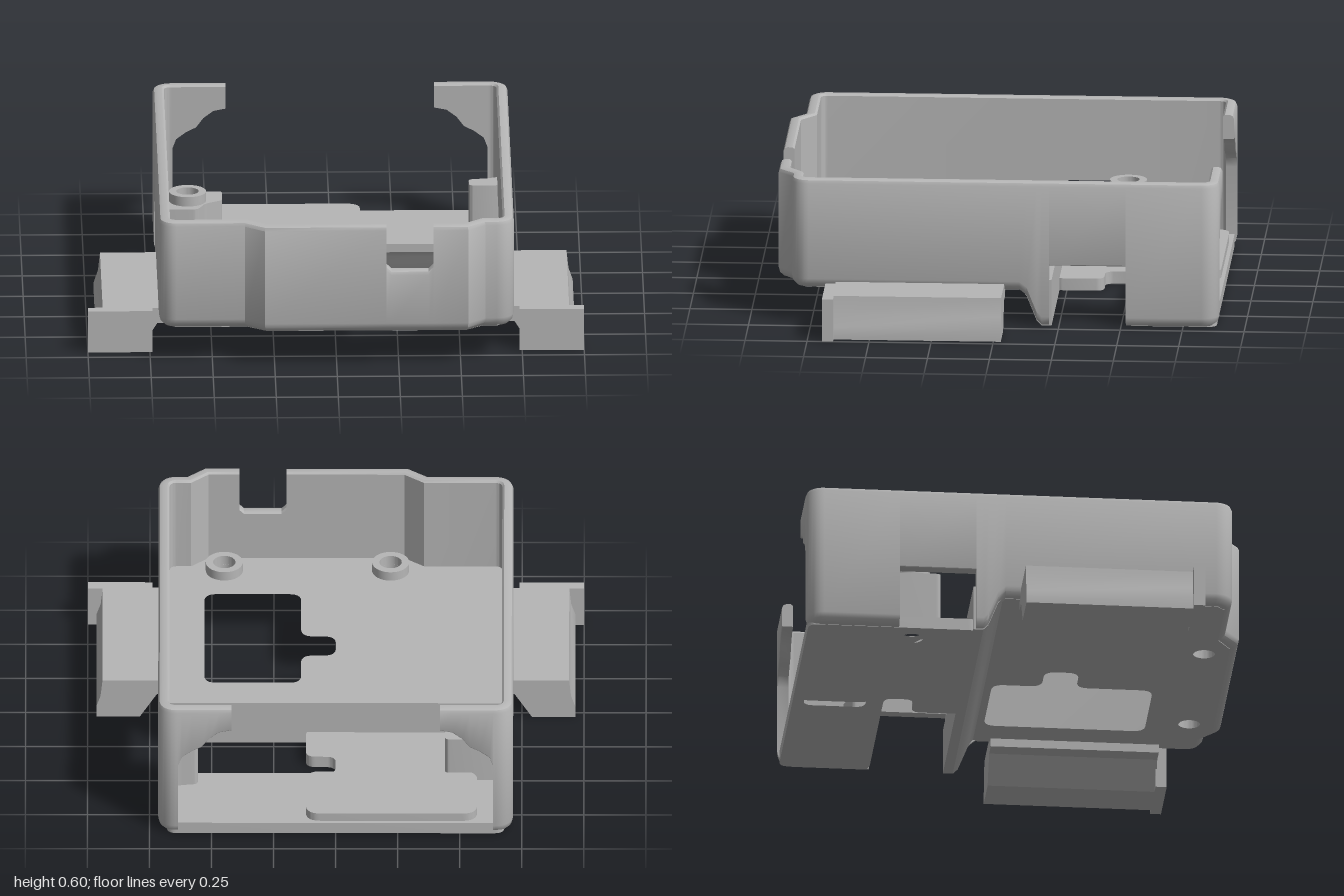
import * as THREE from 'three';
import { toCreasedNormals } from 'three/addons/utils/BufferGeometryUtils.js';

const grey = new THREE.MeshStandardMaterial({ color: 0xb6b6b6 });
grey.name = 'plainGrey';

function add(group, name, geometry) {
  const mesh = new THREE.Mesh(toCreasedNormals(geometry, 0.6), grey);
  mesh.name = name;
  group.add(mesh);
  return mesh;
}

// Trace [x, z] corners with softened corners of size r
function trace(path, pts, r) {
  const n = pts.length;
  const v = pts.map(p => new THREE.Vector2(p[0], -p[1]));
  for (let i = 0; i < n; i++) {
    const c = v[i], a = v[(i + n - 1) % n], b = v[(i + 1) % n];
    const toward = q => c.clone().lerp(q, Math.min(0.45, r / c.distanceTo(q)));
    const s = toward(a), e = toward(b);
    if (i === 0) path.moveTo(s.x, s.y); else path.lineTo(s.x, s.y);
    if (r > 0) path.quadraticCurveTo(c.x, c.y, e.x, e.y);
  }
  path.closePath();
  return path;
}

const roundHole = (x, z, r) => new THREE.Path().absarc(x, -z, r, 0, Math.PI * 2, true);

// Horizontal plate between heights y0 and y1
function plate(pts, r, y0, y1, holes = []) {
  const shape = trace(new THREE.Shape(), pts, r);
  shape.holes.push(...holes);
  const g = new THREE.ExtrudeGeometry(shape, { depth: y1 - y0, bevelEnabled: false, curveSegments: 10 });
  return g.rotateX(-Math.PI / 2).translate(0, y0, 0);
}

const rect = (x0, x1, z0, z1) => [[x0, z0], [x1, z0], [x1, z1], [x0, z1]];

// Profile in x, y pushed along z
function alongZ(pts, z0, z1) {
  const shape = new THREE.Shape(pts.map(p => new THREE.Vector2(...p)));
  return new THREE.ExtrudeGeometry(shape, { depth: z1 - z0, bevelEnabled: false }).translate(0, 0, z0);
}

// Stations are [x, z, bottom, top]; repeated plan points make vertical steps
function wallStations() {
  const arc = (cx, cz, a0, b) => Array.from({ length: 8 }, (_, i) => {
    const a = a0 + (i / 7) * Math.PI / 2;
    return [cx + 0.07 * Math.cos(a), cz + 0.07 * Math.sin(a), b, 0.6];
  });
  const hook = [[0.42, 0.5], [0.47, 0.49], [0.51, 0.46], [0.54, 0.42], [0.58, 0.4], [0.62, 0.37], [0.635, 0.33], [0.635, 0]];
  const side = [[-0.52, 0], [-0.52, 0.255], [-0.21, 0.255], [-0.21, 0], [-0.18, 0], [-0.16, 0.02], [-0.12, 0.12], [-0.09, 0.145]];
  const half = [
    ...hook.map(([x, b]) => [x, -0.895, b, 0.6]),
    ...arc(0.645, -0.825, -Math.PI / 2, 0),
    ...side.map(([z, b]) => [0.715, z, b, 0.6]),
    ...arc(0.645, 0.76, 0, 0.145),
  ];
  const front = [[0.6, 0.83, 0.6], [0.53, 0.89, 0.6], [0.39, 0.89, 0.6], [0.39, 0.89, 0.43], [0.37, 0.89, 0.41],
    [0.22, 0.89, 0.41], [0.2, 0.89, 0.43], [0.2, 0.89, 0.6], [-0.29, 0.89, 0.6], [-0.37, 0.83, 0.6]];
  return [...half, ...front.map(([x, z, t]) => [x, z, 0.145, t]),
    ...half.map(([x, z, b, t]) => [-x, z, b, t]).reverse()];
}

// Wall swept round the case, with a rounded foot and bevelled rim
function wallGeometry() {
  const st = wallStations(), pos = [], index = [], K = 9, w = 0.045;
  const apart = (a, b) => Math.hypot(a[0] - b[0], a[1] - b[1]) > 1e-5;
  st.forEach((s, i) => {
    let p = i, q = i;
    while (p > 0 && !apart(st[p], s)) p--;
    while (q < st.length - 1 && !apart(st[q], s)) q++;
    const dir = (a, b) => apart(a, b) ? new THREE.Vector2(b[0] - a[0], b[1] - a[1]).normalize() : null;
    const d1 = dir(st[p], s) || dir(s, st[q]), d2 = dir(s, st[q]) || d1;
    const d = d1.clone().add(d2).normalize(), mitre = 1 / d.dot(d1);
    const [x, z, b, t] = s;
    const f = b > 0.2 ? 0.004 : 0.042;
    const ring = [[f, b], [f * 0.5, b + f * 0.13], [f * 0.13, b + f * 0.5], [0, b + f], [0, t - 0.018],
      [0.006, t - 0.005], [0.018, t], [w - 0.008, t], [w, t - 0.008], [w, b]];
    ring.forEach(([u, y]) => pos.push(x - d.y * u * mitre, y, z + d.x * u * mitre));
  });
  const N = K + 1;
  for (let i = 0; i < st.length - 1; i++) {
    for (let k = 0; k < N; k++) {
      const a = i * N + k, b = i * N + (k + 1) % N;
      index.push(a, b, a + N, b, b + N, a + N);
    }
  }
  const last = (st.length - 1) * N;
  for (let k = 1; k < K; k++) index.push(0, k + 1, k, last, last + k, last + k + 1);
  const g = new THREE.BufferGeometry();
  g.setAttribute('position', new THREE.Float32BufferAttribute(pos, 3));
  g.setIndex(index);
  return g;
}

export function createModel() {
  const model = new THREE.Group();
  model.name = 'openCase';

  add(model, 'outerWall', wallGeometry());

  // Raised front floor with its stepped opening and screw holes
  const screws = [[-0.22, 0.755], [0.45, 0.755]];
  const opening = trace(new THREE.Path(), [[0.14, -0.07], [0.53, -0.07], [0.53, 0.58], [0.14, 0.58],
    [0.14, 0.27], [0, 0.27], [0, 0.13], [0.14, 0.13]], 0.05);
  add(model, 'frontFloor', plate([[-0.68, -0.13], [0.68, -0.13], [0.68, 0.77], [0.65, 0.8], [0.59, 0.8],
    [0.52, 0.855], [-0.28, 0.855], [-0.36, 0.8], [-0.65, 0.8], [-0.68, 0.77]], 0, 0.145, 0.19,
  [opening, ...screws.map(([x, z]) => roundHole(x, z, 0.045))]));

  // Sloping step between the two floor levels
  const step = [[0.1, 0.145], [0.12, 0.12], [0.16, 0.02], [0.18, 0], [0.22, 0], [0.22, 0.19], [0.1, 0.19]];
  add(model, 'floorStep', alongZ(step, -0.69, 0.69).rotateY(Math.PI / 2));

  // Low back floor with a side opening and a recessed panel
  const panel = (inset) => rect(-0.57 + inset, 0.12 - inset, -0.87 + inset, -0.56 - inset);
  add(model, 'backFloor', plate([[-0.68, -0.885], [0.68, -0.885], [0.68, -0.52], [0, -0.52], [0, -0.4],
    [0.12, -0.4], [0.12, -0.2], [-0.68, -0.2]], 0.04, 0, 0.05,
  [trace(new THREE.Path(), panel(0.03), 0.04), roundHole(-0.58, -0.46, 0.045)]));
  add(model, 'recessedPanel', plate(panel(0), 0.06, 0.035, 0.085));

  // Screw bosses
  const ring = (x, z, y0, y1) => {
    const shape = new THREE.Shape().absarc(x, -z, 0.075, 0, Math.PI * 2, false);
    shape.holes.push(roundHole(x, z, 0.045));
    return new THREE.ExtrudeGeometry(shape, { depth: y1 - y0, bevelEnabled: false, curveSegments: 20 })
      .rotateX(-Math.PI / 2).translate(0, y0, 0);
  };
  screws.forEach(([x, z]) => add(model, 'frontBoss', ring(x, z, 0.15, 0.23)));
  add(model, 'backBoss', ring(-0.58, -0.46, 0.2, 0.285));
  add(model, 'bossBlock', plate([[-0.68, -0.57], [-0.44, -0.57], [-0.44, -0.46], [-0.51, -0.42],
    [-0.54, -0.35], [-0.68, -0.35]], 0.02, 0.03, 0.245, [roundHole(-0.58, -0.46, 0.045)]));

  // Post beside the side opening
  add(model, 'cornerPost', plate([[0.555, -0.525], [0.68, -0.525], [0.68, -0.63], [0.63, -0.61], [0.555, -0.6]],
    0.02, 0.04, 0.28));

  // Side rails with end stops
  for (const s of [1, -1]) {
    const rail = new THREE.Group();
    rail.name = s > 0 ? 'leftRail' : 'rightRail';
    const side = pts => pts.map(([x, y]) => [x * s, y]);
    add(rail, 'railBody', alongZ(side([[0.68, 0.175], [0.94, 0.175], [0.948, 0.1], [0.965, 0.05], [0.965, 0],
      [0.79, 0], [0.72, 0.11], [0.68, 0.11]]), -0.03, 0.65));
    add(rail, 'railStop', alongZ(side([[0.74, 0], [1, 0], [1, 0.175], [0.74, 0.175]]), 0.645, 0.69));
    add(rail, 'railFoot', alongZ(side([[0.65, 0.11], [0.7, 0.11], [0.7, 0.16], [0.65, 0.16]]), -0.03, 0.65));
    model.add(rail);
  }
  return model;
}
